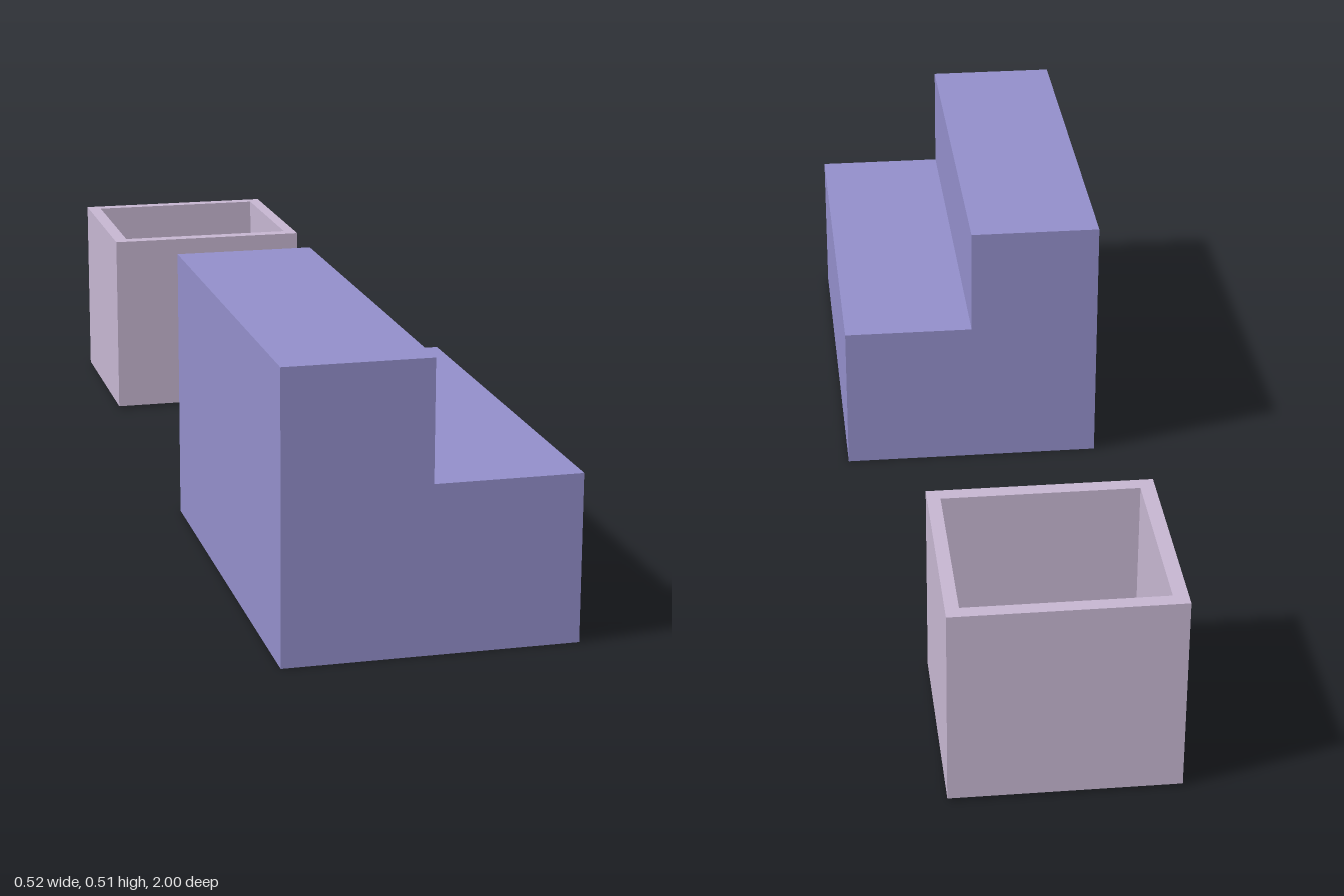
import * as THREE from 'three';

// Flat-shaded prism from a 2D outline, with optional hole
function prism(name, points, hole, depth, color) {
  const toVectors = list => list.map(([x, y]) => new THREE.Vector2(x, y));
  const shape = new THREE.Shape(toVectors(points));
  if (hole) shape.holes.push(new THREE.Path(toVectors(hole)));
  const geometry = new THREE.ExtrudeGeometry(shape, { depth, bevelEnabled: false });
  const mesh = new THREE.Mesh(geometry, new THREE.MeshStandardMaterial({ color, flatShading: true }));
  mesh.name = name;
  return mesh;
}

const rectangle = (x0, y0, x1, y1) => [[x0, y0], [x1, y0], [x1, y1], [x0, y1]];

export function createModel() {
  const group = new THREE.Group();
  group.name = 'steppedBlockAndSquareTube';

  // Long block with one step, extruded along z
  const block = prism('steppedBlock',
    [[-0.26, 0], [0.26, 0], [0.26, 0.3], [0, 0.3], [0, 0.515], [-0.26, 0.515]],
    null, 0.853, 0x928ec9);
  block.position.z = 0.147;
  group.add(block);

  // Square tube open at top and bottom, extruded upward
  const tube = prism('squareTube',
    rectangle(-0.252, 0.602, 0.157, 1),
    rectangle(-0.225, 0.63, 0.133, 0.974),
    0.375, 0xc5b5d0);
  tube.rotation.x = -Math.PI / 2;
  tube.position.y = 0.004;
  group.add(tube);

  return group;
}
